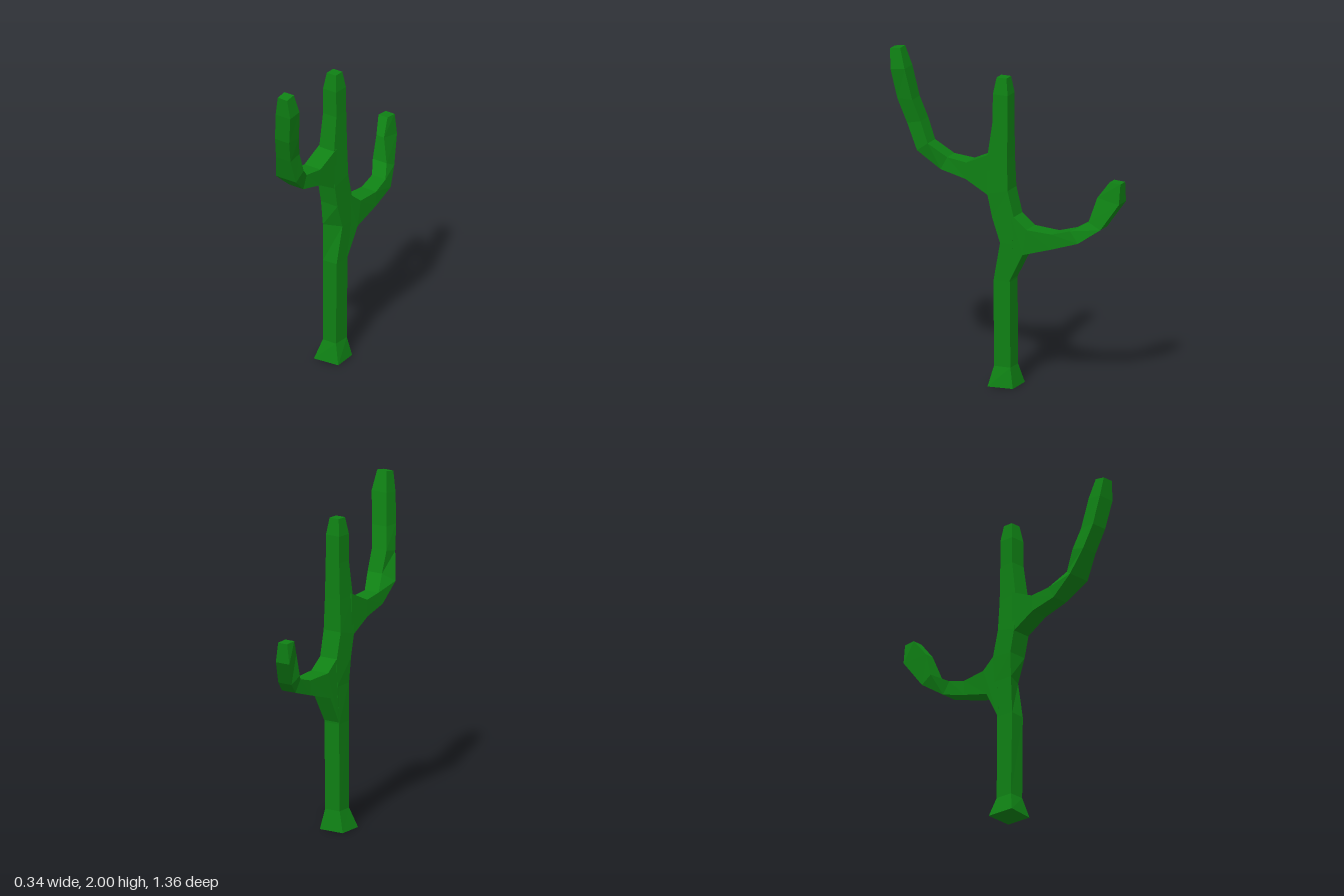
import * as THREE from 'three';

const green = new THREE.MeshStandardMaterial({ color: 0x0f8014, flatShading: true });
green.name = 'cactusGreen';

// Four-sided loft. Each section has two parallel edges running along x:
// [z1, y1, z2, y2, left1, right1, left2, right2, shift of the first edge's right end in z]
function loft(name, sections) {
  const rings = sections.map(([z1, y1, z2, y2, l1, r1, l2 = l1, r2 = r1, dz = 0]) => [
    [l1, y1, z1], [r1, y1, z1 + dz], [r2, y2, z2], [l2, y2, z2],
  ]);
  const pos = [];
  const quad = (a, b, c, d) => pos.push(...a, ...b, ...c, ...a, ...c, ...d);
  for (let i = 0; i < rings.length - 1; i++) {
    for (let j = 0; j < 4; j++) {
      const k = (j + 1) % 4;
      quad(rings[i][j], rings[i][k], rings[i + 1][k], rings[i + 1][j]);
    }
  }
  quad(...[...rings[0]].reverse());
  quad(...rings[rings.length - 1]);
  const geometry = new THREE.BufferGeometry();
  geometry.setAttribute('position', new THREE.Float32BufferAttribute(pos, 3));
  geometry.computeVertexNormals();
  const mesh = new THREE.Mesh(geometry, green);
  mesh.name = name;
  return mesh;
}

export function createModel() {
  const cactus = new THREE.Group();
  cactus.name = 'cactus';

  // Trunk with flared foot, from the ground up (front edge, back edge)
  cactus.add(loft('trunk', [
    [0.105, 0, -0.065, 0, -0.085, 0.08, -0.1, 0.065, -0.015],
    [0.065, 0.12, -0.04, 0.12, -0.05, 0.045, -0.06, 0.045],
    [0.07, 0.64, -0.04, 0.64, -0.045, 0.05, -0.055, 0.05, -0.005],
    [0.065, 0.87, -0.06, 0.87, -0.05, 0.058, -0.058, 0.058, -0.045],
    [0.07, 1.02, -0.07, 1.03, -0.06, 0.06],
    [0.1, 1.16, -0.03, 1.19, -0.06, 0.063],
    [0.1, 1.39, -0.025, 1.38, -0.05, 0.058],
    [0.07, 1.6, -0.025, 1.6, -0.045, 0.052],
    [0.07, 1.76, -0.025, 1.76, -0.045, 0.05],
    [0.053, 1.86, -0.01, 1.86, -0.03, 0.035],
  ]));

  // Tall front arm (lower/outer edge, upper/inner edge)
  cactus.add(loft('frontArm', [
    [0.08, 1.14, 0.08, 1.4, -0.058, 0.06],
    [0.24, 1.23, 0.235, 1.33, -0.055, 0.06],
    [0.4, 1.27, 0.36, 1.345, -0.045, 0.06, -0.045, 0.055],
    [0.53, 1.38, 0.46, 1.43, -0.042, 0.105, 0.005, 0.108],
    [0.59, 1.54, 0.505, 1.56, 0.005, 0.11],
    [0.64, 1.69, 0.545, 1.69, 0.035, 0.138],
    [0.67, 1.87, 0.58, 1.88, 0.062, 0.168],
    [0.68, 1.99, 0.615, 2.0, 0.085, 0.153],
  ]));

  // Low back arm (upper/inner edge, lower/outer edge)
  cactus.add(loft('backArm', [
    [-0.04, 1.06, -0.03, 0.63, -0.058, 0.06, -0.055, 0.05],
    [-0.15, 0.97, -0.125, 0.815, -0.058, 0.063, -0.055, 0.06],
    [-0.31, 0.96, -0.31, 0.87, -0.05, 0.055],
    [-0.42, 0.99, -0.47, 0.92, -0.058, 0.04],
    [-0.51, 1.04, -0.585, 1.0, -0.12, -0.02, -0.115, -0.02],
    [-0.545, 1.18, -0.68, 1.15, -0.12, -0.065, -0.17, -0.072],
    [-0.612, 1.275, -0.682, 1.27, -0.155, -0.09],
  ]));

  return cactus;
}
